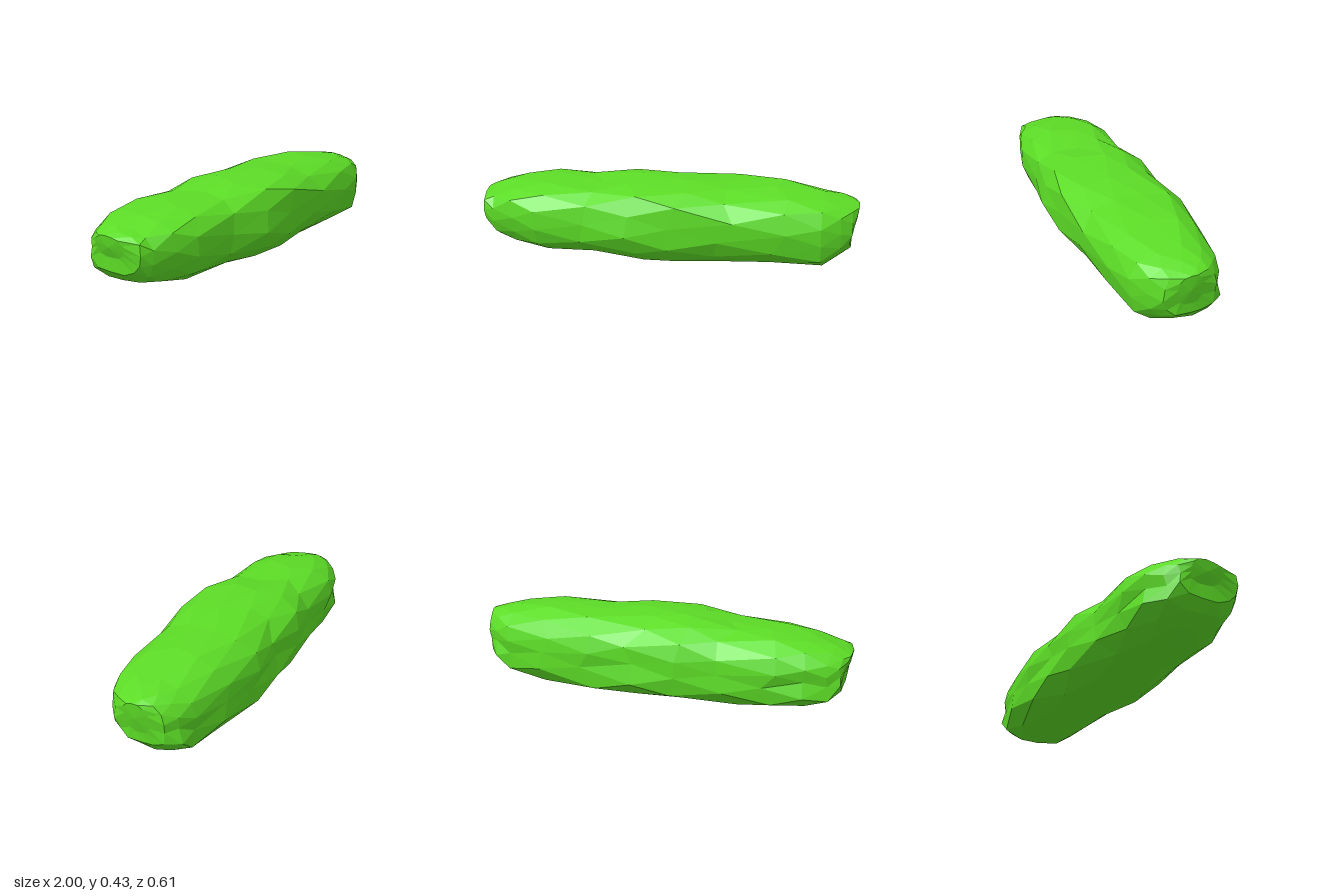
import * as THREE from 'three';

// Stations along the length: x, bottom, top, back, front
const STATIONS = [
  [-1, 0.2, 0.315, -0.09, 0.08], [-0.965, 0.13, 0.335, -0.15, 0.18],
  [-0.91, 0.075, 0.35, -0.2, 0.205], [-0.8, 0.042, 0.385, -0.245, 0.235],
  [-0.62, 0.018, 0.405, -0.27, 0.272], [-0.4, 0.015, 0.402, -0.27, 0.28],
  [-0.15, 0.005, 0.438, -0.308, 0.305], [0.08, 0, 0.438, -0.29, 0.3],
  [0.32, 0.004, 0.422, -0.306, 0.28], [0.6, 0.01, 0.42, -0.28, 0.25],
  [0.82, 0.016, 0.388, -0.24, 0.232], [0.91, 0.06, 0.37, -0.205, 0.175],
  [0.965, 0.11, 0.355, -0.155, 0.12], [1, 0.17, 0.342, -0.07, 0.055],
];

// Lumpy unit cross-section as (z, y), from underneath, up the front, down the back
const SECTION = [
  [0, -1], [0.45, -0.96], [0.72, -0.77], [0.92, -0.5], [1, -0.1], [1, 0.3],
  [0.9, 0.69], [0.65, 0.86], [0.25, 0.94], [-0.15, 1], [-0.5, 0.93],
  [-0.76, 0.75], [-0.95, 0.42], [-0.97, 0.1], [-0.92, -0.2], [-0.98, -0.62],
  [-0.7, -0.93], [-0.35, -1],
];

const SIDES = 14;
const END_LEAN = 0.035; // how far the foot of each end face is set back

function seeded(seed) {
  return () => {
    seed = (seed * 16807) % 2147483647;
    return seed / 2147483647;
  };
}

function bodyGeometry() {
  const rand = seeded(4711);
  const curve = new THREE.CatmullRomCurve3(
    SECTION.map(([z, y]) => new THREE.Vector3(0, y, z)), true);
  const last = STATIONS.length - 1;
  const positions = [];
  const index = [];

  // Rings, every other one turned half a step, with shallow dents
  STATIONS.forEach(([x, y0, y1, z0, z1], i) => {
    const isEnd = i === 0 || i === last;
    for (let j = 0; j < SIDES; j++) {
      const p = curve.getPoint(((j + (i % 2) / 2) / SIDES) % 1);
      const dent = isEnd ? 1 : 1.03 - 0.08 * rand();
      const shift = isEnd
        ? Math.sign(x) * END_LEAN * (p.y - 1) / 2
        : (rand() - 0.5) * (Math.abs(x) < 0.7 ? 0.11 : 0.015);
      positions.push(
        x + shift,
        Math.max(0, (y0 + y1) / 2 + p.y * dent * (y1 - y0) / 2),
        (z0 + z1) / 2 + p.z * dent * (z1 - z0) / 2);
    }
  });

  const at = (i, j) => i * SIDES + (j % SIDES);
  for (let i = 0; i < last; i++) {
    for (let j = 0; j < SIDES; j++) {
      const a = at(i, j), b = at(i, j + 1), d = at(i + 1, j), c = at(i + 1, j + 1);
      if (i % 2 === 0) index.push(a, d, b, b, d, c);
      else index.push(a, d, c, a, c, b);
    }
  }

  // Closed, slightly leaning ends
  [0, last].forEach((i) => {
    const [x, y0, y1, z0, z1] = STATIONS[i];
    const centre = positions.length / 3;
    positions.push(x - Math.sign(x) * END_LEAN / 4, (y0 + y1) / 2, (z0 + z1) / 2);
    for (let j = 0; j < SIDES; j++) {
      if (i === 0) index.push(centre, at(i, j), at(i, j + 1));
      else index.push(centre, at(i, j + 1), at(i, j));
    }
  });

  const geometry = new THREE.BufferGeometry();
  geometry.setAttribute('position', new THREE.Float32BufferAttribute(positions, 3));
  geometry.setIndex(index);
  const faceted = geometry.toNonIndexed();
  faceted.computeVertexNormals();
  return faceted;
}

export function createModel() {
  const group = new THREE.Group();
  group.name = 'pickle';

  const green = new THREE.MeshStandardMaterial({ color: 0x5cdc26, flatShading: true });
  green.name = 'bright green';

  const body = new THREE.Mesh(bodyGeometry(), green);
  body.name = 'body';
  group.add(body);
  return group;
}
